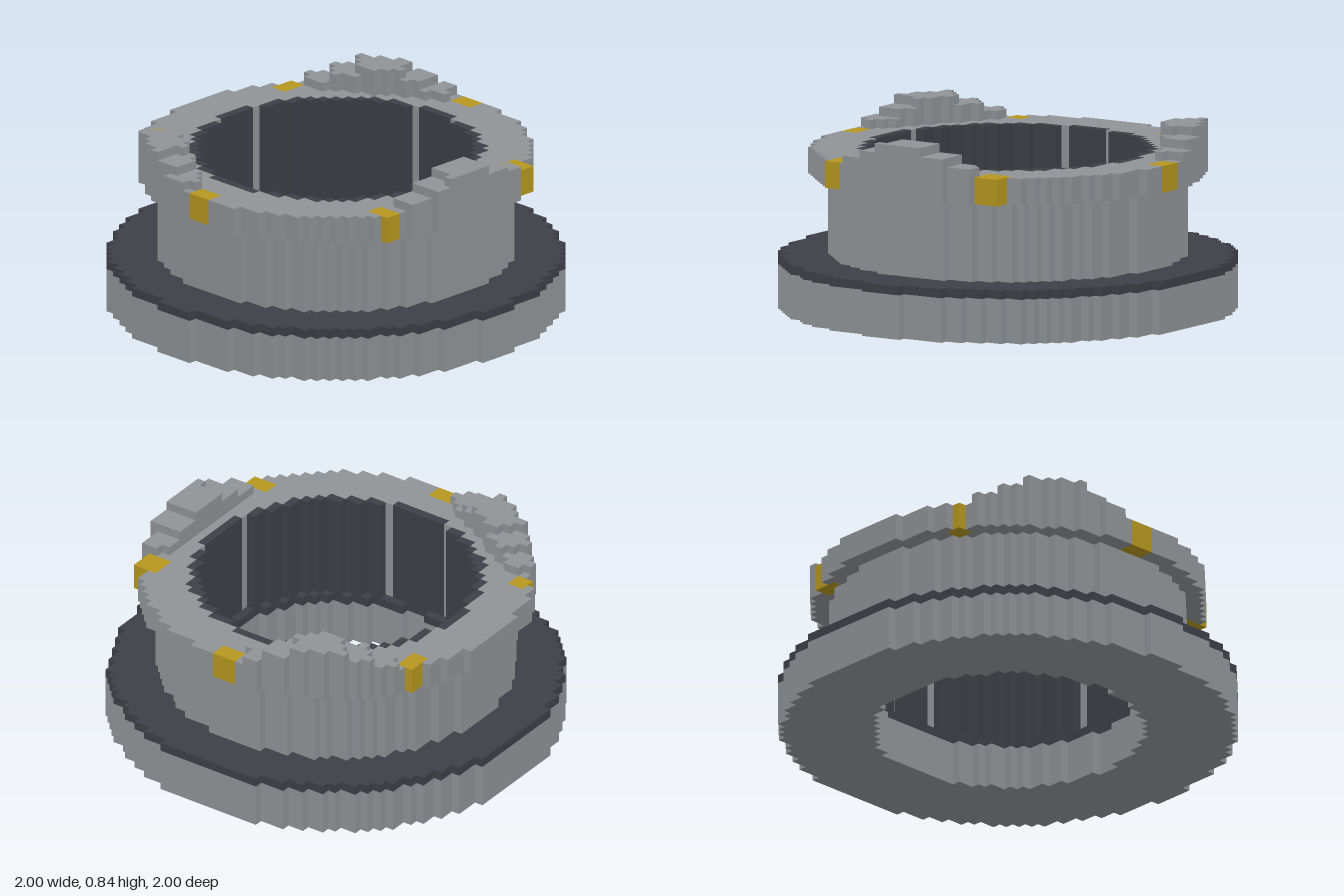
import * as THREE from 'three';

const CELL = 0.04;      // block size
const HALF = 25;        // grid runs from -25 to 24 cells
const OFFSET = -0.4;    // ring centre, in cells

const stone = new THREE.MeshStandardMaterial({ color: 0x8f9397 });
stone.name = 'stone grey';
const dark = new THREE.MeshStandardMaterial({ color: 0x3e3e47 });
dark.name = 'dark slate';
const gold = new THREE.MeshStandardMaterial({ color: 0xb5971f });
gold.name = 'gold';

// Extrudes every grid cell accepted by inside(i, k) from y0 to y1, outer faces only
function blockLayer(name, material, y0, y1, inside) {
  const pos = [];
  const quad = (a, b, c, d) => pos.push(...a, ...b, ...c, ...a, ...c, ...d);
  for (let k = -HALF; k < HALF; k++) {
    const z0 = k * CELL, z1 = z0 + CELL;
    let start = null;
    for (let i = -HALF; i <= HALF; i++) {
      const filled = i < HALF && inside(i, k);
      const x0 = i * CELL, x1 = x0 + CELL;
      // tops and bottoms merged along each row
      if (filled && start === null) start = x0;
      if (!filled && start !== null) {
        quad([start, y1, z1], [x0, y1, z1], [x0, y1, z0], [start, y1, z0]);
        quad([start, y0, z0], [x0, y0, z0], [x0, y0, z1], [start, y0, z1]);
        start = null;
      }
      if (!filled) continue;
      // walls
      const open = (a, b) => a < -HALF || a >= HALF || b < -HALF || b >= HALF || !inside(a, b);
      if (open(i + 1, k)) quad([x1, y0, z1], [x1, y0, z0], [x1, y1, z0], [x1, y1, z1]);
      if (open(i - 1, k)) quad([x0, y0, z0], [x0, y0, z1], [x0, y1, z1], [x0, y1, z0]);
      if (open(i, k + 1)) quad([x0, y0, z1], [x1, y0, z1], [x1, y1, z1], [x0, y1, z1]);
      if (open(i, k - 1)) quad([x1, y0, z0], [x0, y0, z0], [x0, y1, z0], [x1, y1, z0]);
    }
  }
  const geometry = new THREE.BufferGeometry();
  geometry.setAttribute('position', new THREE.Float32BufferAttribute(pos, 3));
  geometry.computeVertexNormals();
  const mesh = new THREE.Mesh(geometry, material);
  mesh.name = name;
  return mesh;
}

// Cell centre relative to the ring centre
const local = (i) => i + 0.5 - OFFSET;
const ring = (inner, outer) => (i, k) => {
  const d = Math.hypot(local(i), local(k));
  return d >= inner && d <= outer;
};

// Gold blocks around the lip, as cell ranges [x from, x to, z from, z to]
const studs = [
  [-2, 1, -22, -20], [-2, 1, 19, 21],
  [16, 19, -12, -9], [16, 19, 9, 11],
  [-19, -17, -12, -9], [-19, -17, 9, 11],
];
const isStud = (i, k) => studs.some(([a, b, c, d]) => i >= a && i < b && k >= c && k < d);

// Stepped crest: flat on the inside, round on the outside, narrower on each level
const crest = (angle, halfWidth) => (i, k) => {
  const x = local(i), z = local(k);
  const u = x * Math.cos(angle) + z * Math.sin(angle);
  const v = z * Math.cos(angle) - x * Math.sin(angle);
  return u >= 17.5 && Math.hypot(x, z) <= 21.6 && Math.abs(Math.atan2(v, u)) <= halfWidth;
};

export function createModel() {
  const model = new THREE.Group();
  model.name = 'ringTower';

  // Wide foot with a dark deck
  model.add(blockLayer('base', stone, 0, 0.2, ring(15, 25)));
  model.add(blockLayer('deck', dark, 0.2, 0.24, ring(15, 25)));

  // Round wall with an overhanging lip and a dark inner lining
  const lip = ring(16.3, 21.6);
  model.add(blockLayer('wall', stone, 0.24, 0.6, ring(16.3, 19.4)));
  model.add(blockLayer('lip', stone, 0.6, 0.72, (i, k) => lip(i, k) && !isStud(i, k)));
  model.add(blockLayer('lining', dark, 0.24, 0.72, ring(15.5, 16.299)));
  model.add(blockLayer('studs', gold, 0.6, 0.72, isStud));

  // Three stepped crests on the lip
  for (let n = 0; n < 3; n++) {
    const group = new THREE.Group();
    group.name = 'crest';
    for (let level = 0; level < 3; level++) {
      const y = 0.72 + level * CELL;
      const halfWidth = THREE.MathUtils.degToRad(24 - 8 * level);
      group.add(blockLayer('crestStep', stone, y, y + CELL, crest(n * Math.PI * 2 / 3, halfWidth)));
    }
    model.add(group);
  }
  return model;
}
